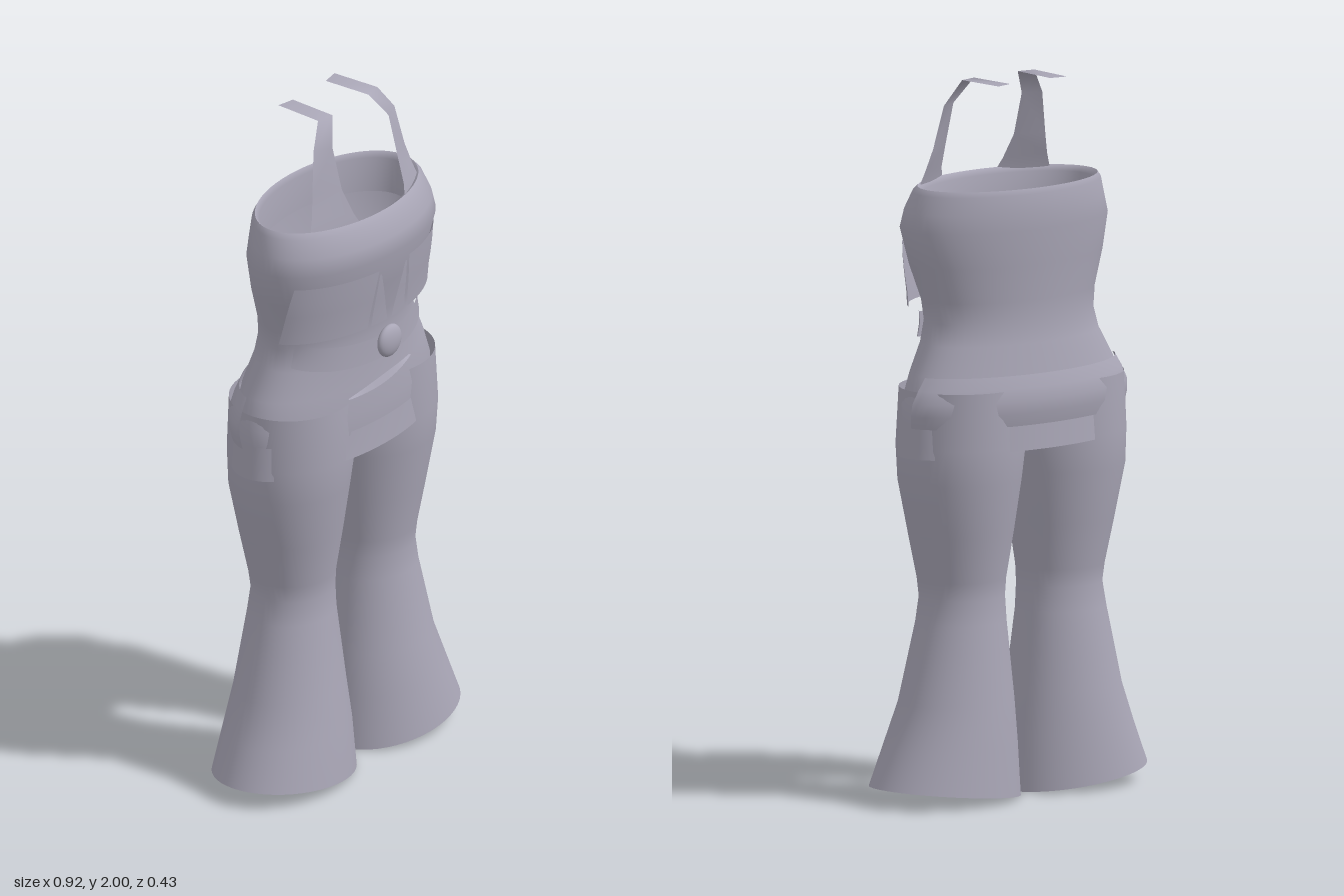
import * as THREE from 'three';

// bodice profile: [y, half width, front z, back z]
const BODY = [
  [1.06, 0.372, 0.165, -0.195], [1.12, 0.37, 0.167, -0.195], [1.2, 0.34, 0.16, -0.186],
  [1.28, 0.295, 0.155, -0.168], [1.34, 0.278, 0.155, -0.162], [1.4, 0.285, 0.163, -0.163],
  [1.5, 0.318, 0.19, -0.172], [1.6, 0.34, 0.214, -0.18], [1.65, 0.325, 0.21, -0.18],
  [1.7, 0.308, 0.185, -0.175], [1.715, 0.295, 0.17, -0.168],
];
// turned-in lining at the neckline
const LINING = [[1.715, 0.295, 0.17, -0.168], [1.7, 0.277, 0.152, -0.158], [1.6, 0.27, 0.15, -0.156]];
// leg profile: [y, inner x, outer x, front z, back z]
const LEG = [
  [1.16, -0.005, 0.36, 0.155, -0.185], [1.0, -0.002, 0.369, 0.16, -0.187], [0.9, 0.012, 0.366, 0.15, -0.18],
  [0.75, 0.033, 0.335, 0.127, -0.155], [0.62, 0.052, 0.308, 0.105, -0.13], [0.57, 0.054, 0.302, 0.101, -0.124],
  [0.5, 0.05, 0.315, 0.105, -0.13], [0.28, 0.025, 0.368, 0.137, -0.155],
  [0.16, 0.012, 0.415, 0.16, -0.168], [0.027, 0, 0.462, 0.178, -0.18],
];

const lerp = THREE.MathUtils.lerp;

// surface from fn(u, v) -> [x, y, z]; closed welds the u seam
function sheet(nu, nv, fn, closed = false) {
  const pos = [], idx = [], w = closed ? nu : nu + 1;
  for (let j = 0; j <= nv; j++)
    for (let i = 0; i < w; i++) pos.push(...fn(i / nu, j / nv));
  for (let j = 0; j < nv; j++)
    for (let i = 0; i < nu; i++) {
      const a = j * w + i, b = j * w + (i + 1) % w;
      idx.push(a, b, a + w, b, b + w, a + w);
    }
  const g = new THREE.BufferGeometry();
  g.setAttribute('position', new THREE.Float32BufferAttribute(pos, 3));
  g.setIndex(idx);
  g.computeVertexNormals();
  return g;
}

const oval = (t, y, cx, rx, front, back) =>
  [cx + rx * Math.sin(t), y, (front + back) / 2 + (front - back) / 2 * Math.cos(t)];

// point on the bodice at height y and angle t (0 = front), pushed out by dx, dz
function onBody(t, y, dx = 0, dz = dx) {
  let i = 0;
  while (i < BODY.length - 2 && y > BODY[i + 1][0]) i++;
  const a = BODY[i], b = BODY[i + 1];
  const k = THREE.MathUtils.clamp((y - a[0]) / (b[0] - a[0]), 0, 1);
  return oval(t, y, 0, lerp(a[1], b[1], k) + dx, lerp(a[2], b[2], k) + dz, lerp(a[3], b[3], k) - dz);
}

export function createModel() {
  const model = new THREE.Group();
  const cloth = new THREE.MeshStandardMaterial({ color: 0xa9a6b6, side: THREE.DoubleSide });
  cloth.name = 'lavender grey cloth';
  const add = (name, geometry) => {
    const mesh = new THREE.Mesh(geometry, cloth);
    mesh.name = name;
    model.add(mesh);
    return mesh;
  };
  const TAU = Math.PI * 2;

  // bodice and its lining
  const rings = (rows) => sheet(64, rows.length - 1, (u, v) => {
    const r = rows[Math.round(v * (rows.length - 1))];
    return oval(u * TAU, r[0], 0, r[1], r[2], r[3]);
  }, true);
  add('bodice', rings(BODY));
  add('neckLining', rings(LINING));

  // flared trouser legs with slanted hems
  for (const s of [1, -1]) {
    const n = LEG.length - 1;
    add(s > 0 ? 'leftLeg' : 'rightLeg', sheet(48, n, (u, v) => {
      const r = LEG[Math.round(v * n)], t = u * TAU * s;
      const p = oval(t, r[0], s * (r[1] + r[2]) / 2, (r[2] - r[1]) / 2, r[3], r[4]);
      if (r === LEG[n]) p[1] += 0.026 * Math.sin(t) * s;
      return p;
    }, true));
  }

  // hem tabs: [name, top angles, bottom angles, bottom y]
  const tabs = [
    ['frontTab', -0.36, 0.36, -0.48, 0.42, 0.995],
    ['backTab', Math.PI - 0.42, Math.PI + 0.42, Math.PI - 0.42, Math.PI + 0.42, 0.99],
    ['leftTab', 1.19, 1.98, 1.17, 2.0, 0.975],
    ['rightTab', -1.98, -1.19, -2.0, -1.17, 0.975],
  ];
  for (const [name, a, b, c, d, y] of tabs)
    add(name, sheet(16, 2, (u, v) =>
      onBody(lerp(lerp(a, b, u), lerp(c, d, u), v), lerp(1.075, y, v), 0.004 + 0.006 * v)));

  // raised band around the back of the hips
  add('hipBand', sheet(40, 4, (u, v) =>
    onBody(lerp(1.75 - 0.1 * v, TAU - 1.75 + 0.1 * v, u), lerp(1.2, 1.06, v), 0.008 + 0.012 * Math.sin(v * Math.PI))));

  // narrow fold across the front of the hips
  add('frontFold', sheet(16, 3, (u, v) =>
    onBody(lerp(-0.4, 0.42, u), 1.175 + 0.03 * u + (0.5 - v) * 0.02 * Math.sin(u * Math.PI), 0.002 + 0.006 * v)));

  // belt over the front, dipping at the middle, with a round buckle
  add('belt', sheet(32, 2, (u, v) => {
    const t = lerp(-1.2, 1.2, u);
    return onBody(t, 1.335 + 0.033 * (1 - Math.cos(t)) / 0.64 - 0.07 * v, 0.008, 0.018);
  }));
  const buckle = add('buckle', new THREE.SphereGeometry(0.048, 24, 16));
  buckle.scale.z = 0.42;
  buckle.position.set(0, 1.315, 0.187);

  for (const s of [1, -1]) {
    const side = s > 0 ? 'left' : 'right';
    // loose flaps under the bust
    const flap = (a, b, c, d, top, flare) => sheet(12, 4, (u, v) => {
      const p = onBody(lerp(lerp(a, b, u), lerp(c, d, u), v), lerp(top, 1.385, v), 0.003 + flare * v, 0.004 + 0.022 * v);
      p[0] *= s;
      return p;
    });
    add(side + 'OuterFlap', flap(0.2, 1.15, 0.27, 1.3, 1.56, 0.045));
    add(side + 'InnerFlap', flap(0.16, 0.18, 0.03, 0.25, 1.545, 0.01));

    // shoulder strap, widening at the neckline and lying flat on top
    const strap = [
      [0.09, 1.69, 0.17, 0.245, 1.69, 0.1], [0.112, 1.74, 0.15, 0.222, 1.75, 0.09],
      [0.125, 1.81, 0.118, 0.205, 1.81, 0.078], [0.125, 1.93, 0.085, 0.18, 1.93, 0.062],
      [0.08, 2, 0.05, 0.132, 2, 0.04], [0.073, 2, -0.095, 0.125, 2, -0.105],
    ];
    add(side + 'Strap', sheet(1, 5, (u, v) => {
      const r = strap[Math.round(v * 5)];
      return [s * lerp(r[0], r[3], u), lerp(r[1], r[4], u), lerp(r[2], r[5], u)];
    }));
  }
  // turn mirrored and wound-back sheets so faces point outward
  for (const mesh of model.children) {
    if (mesh.name === 'buckle') continue;
    const g = mesh.geometry, p = g.attributes.position, n = g.attributes.normal;
    let out = 0;
    for (let i = 0; i < p.count; i++) {
      const cx = mesh.name.endsWith('Leg') ? Math.sign(p.getX(0)) * 0.19 : 0;
      out += (p.getX(i) - cx) * n.getX(i) + p.getZ(i) * n.getZ(i);
    }
    if (out < 0) {
      g.index.array.reverse();
      g.computeVertexNormals();
    }
  }
  return model;
}
